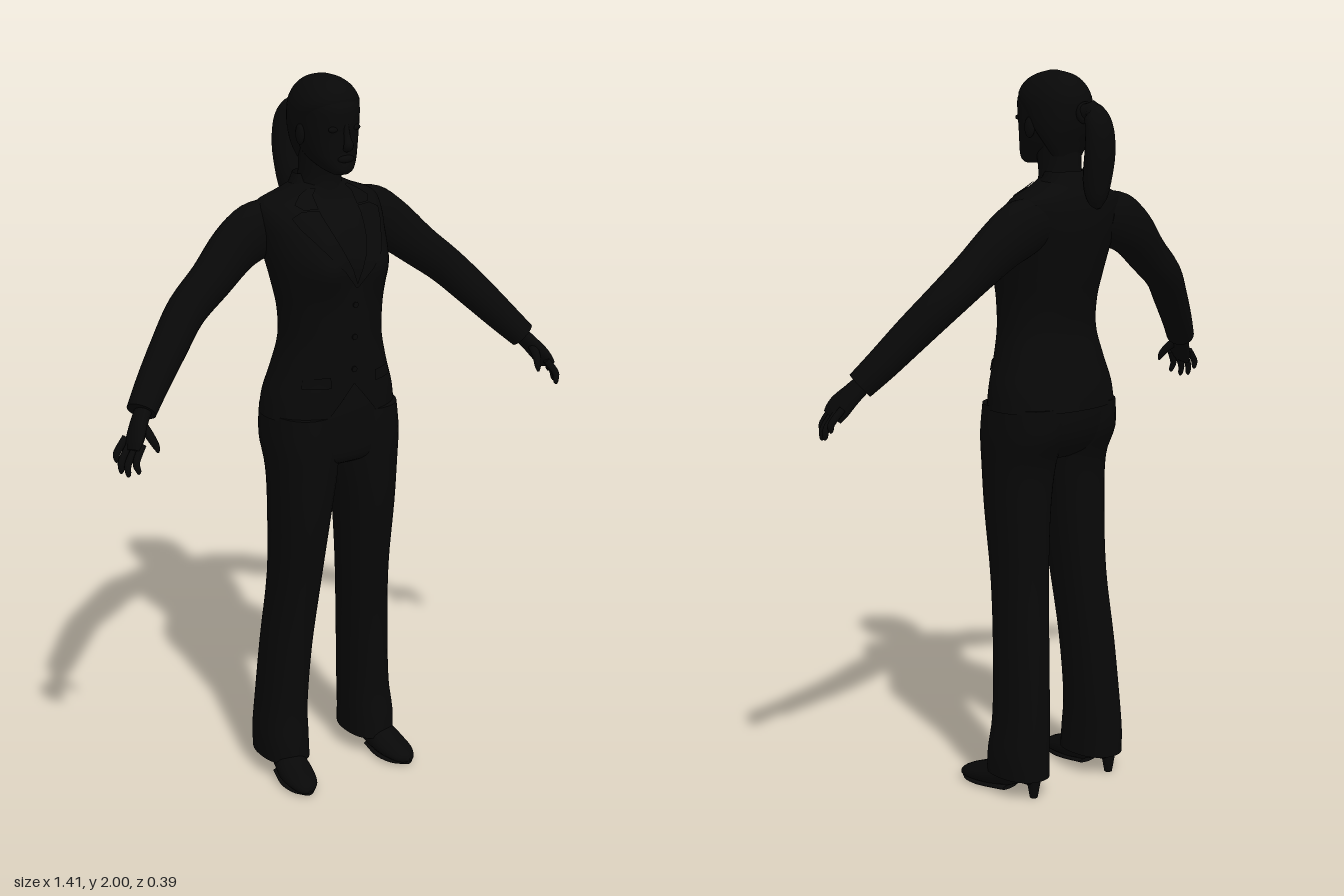
import * as THREE from 'three';

const black = new THREE.MeshStandardMaterial({ color: 0x080808, side: THREE.DoubleSide });
black.name = 'black';

// Skin a list of rings (equal point counts) and close both ends; s = -1 mirrors in x
function loft(rings, s = 1, caps = true) {
  const n = rings[0].length, pos = [], idx = [];
  const tri = (a, b, c) => (s > 0 ? idx.push(a, b, c) : idx.push(a, c, b));
  const add = (p) => pos.push(p[0] * s, p[1], p[2]) / 3 - 1;
  rings.forEach((r) => r.forEach(add));
  for (let i = 0; i < rings.length - 1; i++)
    for (let j = 0; j < n; j++) {
      const a = i * n + j, b = i * n + ((j + 1) % n);
      tri(a, a + n, b);
      tri(b, a + n, b + n);
    }
  if (caps) [rings[0], rings[rings.length - 1]].forEach((r, end) => {
    const ids = r.map(add);
    const mid = add([0, 1, 2].map((k) => r.reduce((t, p) => t + p[k], 0) / n));
    for (let j = 0; j < n; j++) {
      const a = ids[j], b = ids[(j + 1) % n];
      end ? tri(mid, b, a) : tri(mid, a, b);
    }
  });
  const g = new THREE.BufferGeometry();
  g.setAttribute('position', new THREE.Float32BufferAttribute(pos, 3));
  g.setIndex(idx);
  g.computeVertexNormals();
  return g;
}

// Smooth interpolation through table rows, u in row units
function rowAt(rows, u) {
  const last = rows.length - 1, i = Math.min(Math.floor(u), last - 1), t = u - i;
  const [a, b, c, d] = [-1, 0, 1, 2].map((k) => rows[Math.max(0, Math.min(last, i + k))]);
  return b.map((_, k) => b[k] + 0.5 * t * (c[k] - a[k] + t * (2 * a[k] - 5 * b[k] + 4 * c[k] - d[k]
    + t * (3 * (b[k] - c[k]) + d[k] - a[k]))));
}
const refine = (rows, step) =>
  Array.from({ length: (rows.length - 1) * step + 1 }, (_, i) => rowAt(rows, i / step));

// Horizontal sections [y, halfWidth, zFront, zBack, zWidest, xCentre]
function body(rows, { p = 2.2, step = 4, n = 40, rule = (q) => q, s = 1, caps = true } = {}) {
  const pw = (c) => Math.sign(c) * Math.abs(c) ** (2 / p);
  return loft(refine(rows, step).map(([y, w, f, b, c, x = 0]) =>
    Array.from({ length: n }, (_, j) => {
      const a = (j / n) * Math.PI * 2, sn = pw(Math.sin(a));
      return rule([x + w * pw(Math.cos(a)), y, c + sn * (sn > 0 ? f - c : c - b)]);
    })), s, caps);
}

// Sections [x, y, z, ru, rv] along a path; rv lies towards ref
function limb(rows, ref, { step = 4, n = 16, s = 1 } = {}) {
  const pts = refine(rows, step), P = pts.map((r) => new THREE.Vector3(...r));
  return loft(P.map((c, i) => {
    const T = P[Math.min(i + 1, P.length - 1)].clone().sub(P[Math.max(i - 1, 0)]).normalize();
    const u = T.clone().cross(new THREE.Vector3(...ref)).normalize(), v = u.clone().cross(T);
    return Array.from({ length: n }, (_, j) => {
      const a = (j / n) * Math.PI * 2;
      return c.clone().addScaledVector(u, pts[i][3] * Math.cos(a))
        .addScaledVector(v, pts[i][4] * Math.sin(a)).toArray();
    });
  }), s);
}

const torso = [
  [1.09, 0.196, 0.152, -0.125, 0.01], [1.15, 0.187, 0.152, -0.117, 0.01], [1.22, 0.165, 0.15, -0.1, 0.015],
  [1.3, 0.146, 0.15, -0.082, 0.02], [1.38, 0.146, 0.153, -0.088, 0.02], [1.45, 0.157, 0.155, -0.103, 0.01],
  [1.52, 0.17, 0.155, -0.116, -0.01], [1.58, 0.18, 0.132, -0.124, -0.035], [1.63, 0.187, 0.095, -0.124, -0.05],
  [1.665, 0.175, 0.058, -0.117, -0.055], [1.69, 0.115, 0.04, -0.106, -0.05], [1.715, 0.062, 0.028, -0.088, -0.04],
];
const bust = (x, y) => 0.03 * Math.exp(-(((Math.abs(x) - 0.085) / 0.05) ** 2) - ((y - 1.51) / 0.065) ** 2);

// Front of the jacket at (x, y)
function chestZ(x, y) {
  let i = 0;
  while (i < torso.length - 2 && torso[i + 1][0] < y) i++;
  const [, w, f, , c] = rowAt(torso, i + (y - torso[i][0]) / (torso[i + 1][0] - torso[i][0]));
  return c + (f - c) * (1 - Math.min(1, Math.abs(x) / w) ** 2.2) ** (1 / 2.2) + bust(x, y);
}

// Strip laid on the chest from rows [y, xInner, xOuter]
function chestStrip(rows, s, lift) {
  const m = 5, g = new THREE.PlaneGeometry(1, 1, m, rows.length - 1), a = g.attributes.position;
  rows.forEach(([y, x0, x1], i) => {
    for (let j = 0; j <= m; j++) {
      const x = x0 + ((x1 - x0) * j) / m;
      a.setXYZ(i * (m + 1) + j, x * s, y, chestZ(x, y) + lift);
    }
  });
  if (s < 0) g.setIndex([...g.index.array].reverse());
  g.computeVertexNormals();
  return g;
}

export function createModel() {
  const model = new THREE.Group();
  model.name = 'woman';
  const add = (name, geo, x = 0, y = 0, z = 0) => {
    const m = new THREE.Mesh(geo, black);
    m.name = name;
    m.position.set(x, y, z);
    model.add(m);
    return m;
  };

  // Jacket with a cut-away front hem
  add('jacket', body(torso, { n: 64, step: 5, caps: false, rule: ([x, y, z]) =>
    z > 0.03 ? [x, Math.max(y, 1.19 - 1.2 * Math.abs(x)), z + bust(x, y)] : [x, y, z] }));
  for (const y of [1.23, 1.32, 1.41])
    add('button', new THREE.CylinderGeometry(0.008, 0.008, 0.008, 12).rotateX(Math.PI / 2), 0, y, chestZ(0, y));
  add('collar', body([[1.675, 0.098, 0.03, -0.113, -0.045], [1.71, 0.075, 0.012, -0.1, -0.045],
    [1.735, 0.066, -0.01, -0.09, -0.045]], { caps: false }));

  // Head, hair and neck
  add('neck', body([[1.64, 0.075, 0.05, -0.09, -0.03], [1.71, 0.06, 0.034, -0.082, -0.03],
    [1.75, 0.056, 0.035, -0.08, -0.02], [1.81, 0.058, 0.05, -0.08, -0.02]]));
  add('head', body([[1.75, 0.022, 0.1, 0.05, 0.08], [1.762, 0.04, 0.111, 0.015, 0.06],
    [1.785, 0.058, 0.11, -0.04, 0.035], [1.81, 0.068, 0.107, -0.07, 0.02], [1.85, 0.076, 0.106, -0.095, 0.01],
    [1.89, 0.08, 0.11, -0.1, 0], [1.93, 0.079, 0.107, -0.1, 0], [1.965, 0.06, 0.078, -0.08, 0],
    [1.99, 0.02, 0.03, -0.03, 0]]));
  add('hair', body([[1.775, 0.05, -0.03, -0.076, -0.05], [1.81, 0.07, -0.01, -0.09, -0.04],
    [1.85, 0.084, 0.02, -0.106, -0.02], [1.89, 0.088, 0.06, -0.112, -0.01], [1.93, 0.086, 0.1, -0.11, 0],
    [1.965, 0.069, 0.088, -0.091, 0], [1.988, 0.042, 0.054, -0.06, 0], [2, 0.006, 0.01, -0.012, 0]]));
  add('nose', limb([[0, 1.885, 0.104, 0.007, 0.006], [0, 1.85, 0.112, 0.009, 0.009],
    [0, 1.829, 0.119, 0.014, 0.012], [0, 1.818, 0.108, 0.01, 0.008]], [0, 0, 1]));
  add('lips', new THREE.SphereGeometry(1, 16, 10).scale(0.025, 0.01, 0.012), 0, 1.793, 0.106);
  add('ponytail', limb([[0, 1.885, -0.095, 0.02, 0.02], [-0.005, 1.895, -0.135, 0.03, 0.02],
    [-0.012, 1.86, -0.158, 0.042, 0.03], [-0.015, 1.79, -0.16, 0.046, 0.036], [-0.016, 1.71, -0.148, 0.04, 0.036],
    [-0.016, 1.66, -0.148, 0.027, 0.025], [-0.016, 1.638, -0.155, 0.006, 0.006]], [0, 0.3, 1]));
  add('hairTie', new THREE.TorusGeometry(0.022, 0.008, 8, 20), -0.002, 1.89, -0.116);

  // Hips of the trousers
  add('trouserHips', body([[0.945, 0.1, 0.1, -0.035, 0.03], [0.97, 0.165, 0.14, -0.075, 0.03],
    [1.02, 0.187, 0.148, -0.105, 0.02], [1.08, 0.187, 0.148, -0.113, 0.015], [1.14, 0.176, 0.143, -0.105, 0.015],
    [1.22, 0.145, 0.13, -0.085, 0.015]], { p: 2.5 }));

  for (const s of [1, -1]) {
    const side = s > 0 ? 'left' : 'right';
    add(side + 'Lapel', chestStrip([[1.655, 0.06, 0.105], [1.64, 0.059, 0.135], [1.615, 0.053, 0.125],
      [1.58, 0.043, 0.1], [1.55, 0.032, 0.08], [1.51, 0.014, 0.045], [1.46, -0.004, 0.004]], s, 0.008));
    add(side + 'CollarFront', chestStrip([[1.705, 0.045, 0.062], [1.69, 0.06, 0.09], [1.67, 0.06, 0.115],
      [1.658, 0.06, 0.1]], s, 0.009));
    add(side + 'PocketFlap', chestStrip([[1.215, 0.07, 0.135], [1.2, 0.07, 0.138], [1.185, 0.07, 0.14]], s, 0.005));
    add(side + 'Ear', new THREE.SphereGeometry(1, 12, 10).scale(0.01, 0.028, 0.017), s * 0.081, 1.85, 0.01);
    add(side + 'Eye', new THREE.SphereGeometry(1, 12, 8).scale(0.015, 0.008, 0.008), s * 0.034, 1.872, 0.098);

    // Sleeve, bent forward at the elbow
    add(side + 'Sleeve', limb([[0.12, 1.605, -0.06, 0.068, 0.05], [0.185, 1.588, -0.058, 0.079, 0.056],
      [0.25, 1.55, -0.053, 0.071, 0.056], [0.33, 1.483, -0.035, 0.06, 0.054], [0.415, 1.415, -0.018, 0.054, 0.052],
      [0.49, 1.338, 0.02, 0.05, 0.048], [0.56, 1.262, 0.058, 0.044, 0.044], [0.61, 1.207, 0.09, 0.038, 0.042]],
      [0, 0, 1], { s, n: 24 }));

    // Hand
    add(side + 'Palm', limb([[0.59, 1.225, 0.08, 0.022, 0.027], [0.625, 1.185, 0.105, 0.02, 0.033],
      [0.65, 1.15, 0.128, 0.018, 0.04], [0.665, 1.125, 0.138, 0.012, 0.036]], [0, 0.3, 1], { s }));
    const fingers = [[0.672, 1.135, 0.105, 0.7, 1.09, 0.108], [0.668, 1.128, 0.126, 0.7, 1.068, 0.133],
      [0.663, 1.125, 0.147, 0.692, 1.064, 0.156], [0.655, 1.13, 0.165, 0.674, 1.075, 0.178]];
    for (const [x, y, z, tx, ty, tz] of fingers)
      add(side + 'Finger', limb([[x - 0.01, y + 0.015, z - 0.005, 0.01, 0.01],
        [(x + tx) / 2 + 0.006, (y + ty) / 2 + 0.004, (z + tz) / 2, 0.0095, 0.0095],
        [tx - 0.006, ty + 0.008, tz, 0.007, 0.007], [tx - 0.006, ty, tz, 0.002, 0.002]], [0, 0.3, 1], { s, n: 10 }));
    add(side + 'Thumb', limb([[0.625, 1.185, 0.115, 0.014, 0.014], [0.618, 1.16, 0.148, 0.012, 0.012],
      [0.61, 1.135, 0.167, 0.009, 0.009], [0.608, 1.12, 0.173, 0.003, 0.003]], [1, 0, 0], { s, n: 10 }));

    // Trouser leg, slightly flared at the hem
    add(side + 'TrouserLeg', body([[0.055, 0.069, 0.094, -0.103, -0.005, 0.144],
      [0.12, 0.07, 0.088, -0.103, -0.005, 0.145], [0.22, 0.066, 0.077, -0.1, -0.01, 0.139],
      [0.4, 0.065, 0.085, -0.087, 0, 0.128], [0.6, 0.067, 0.108, -0.068, 0.02, 0.113],
      [0.8, 0.08, 0.134, -0.06, 0.035, 0.105], [0.93, 0.092, 0.145, -0.066, 0.035, 0.098],
      [1.02, 0.096, 0.15, -0.105, 0.025, 0.098], [1.1, 0.092, 0.145, -0.108, 0.02, 0.096]], { s, p: 2.3, n: 32 }));

    // Shoe with a slim heel
    add(side + 'Shoe', limb([[0.148, 0.07, -0.088, 0.02, 0.02], [0.148, 0.07, -0.07, 0.034, 0.035],
      [0.148, 0.07, -0.02, 0.036, 0.04], [0.152, 0.054, 0.04, 0.042, 0.045], [0.16, 0.036, 0.1, 0.049, 0.033],
      [0.166, 0.026, 0.155, 0.041, 0.022], [0.17, 0.019, 0.183, 0.024, 0.014], [0.17, 0.017, 0.193, 0.005, 0.004]],
      [0, 1, 0], { s, n: 20 }));
    add(side + 'Sole', limb([[0.155, 0.008, 0.02, 0.03, 0.006], [0.16, 0.007, 0.1, 0.047, 0.007],
      [0.166, 0.007, 0.155, 0.038, 0.007], [0.17, 0.009, 0.19, 0.012, 0.005]], [0, 1, 0], { s }));
    add(side + 'Heel', new THREE.CylinderGeometry(0.022, 0.011, 0.06, 12), s * 0.148, 0.03, -0.072);
  }
  return model;
}
